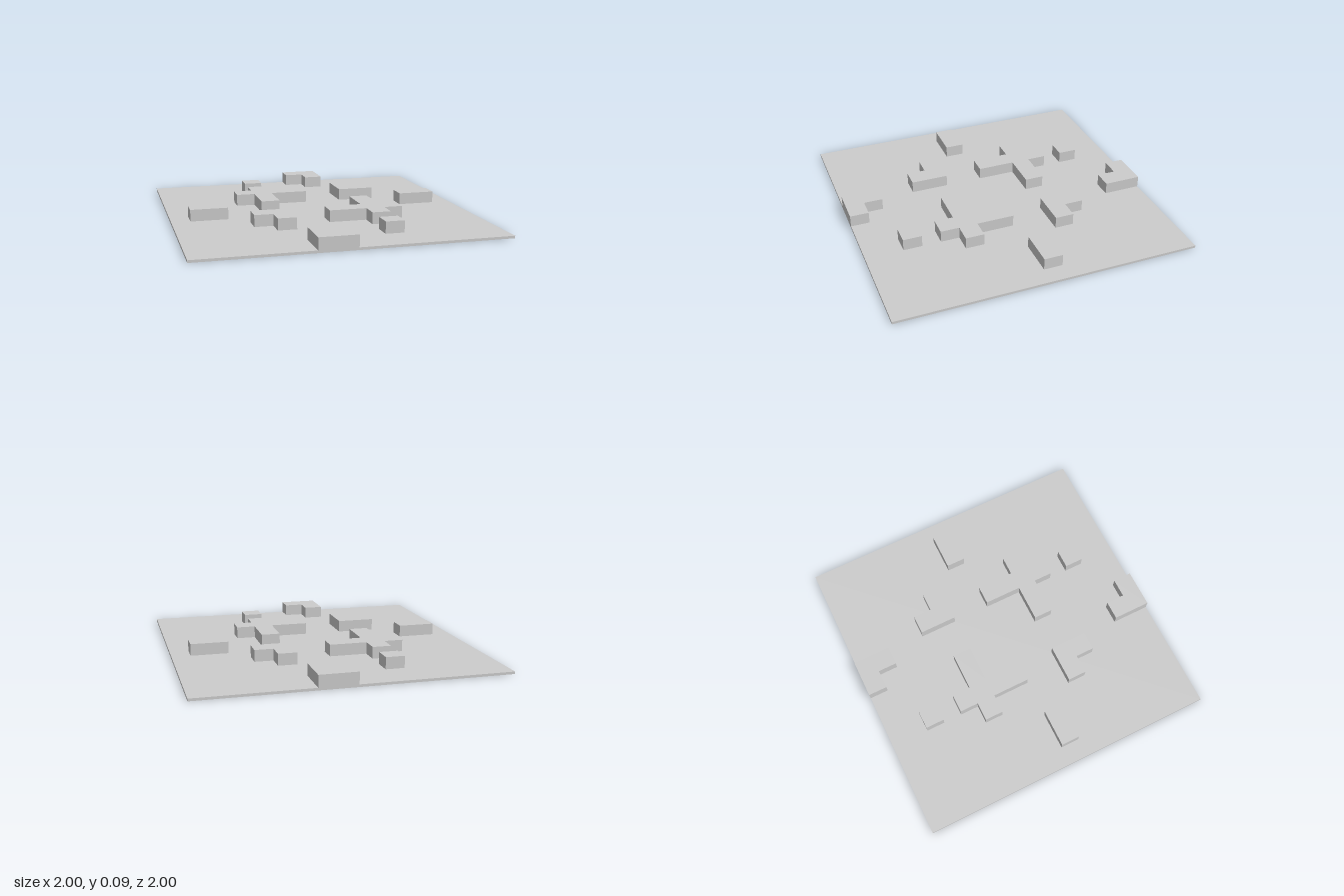
import * as THREE from 'three';

const CELL = 0.125;   // layout grid step
const BASE = 0.016;   // plate thickness
const TOP = 0.094;    // height of block tops

// Footprints of one half of the layout, as [x, z] corners in grid cells
const FOOTPRINTS = {
  edgeStepBlock: [[0, -8], [0, -7], [1, -7], [1, -6], [2, -6], [2, -8]],
  smallCube: [[-3, -6], [-3, -5], [-2, -5], [-2, -6]],
  crossBlock: [[-4, -3], [-4, -2], [-3, -2], [-3, 0], [-2, 0], [-2, -2],
    [0, -2], [0, -3], [-2, -3], [-2, -4], [-3, -4], [-3, -3]],
  cornerBlock: [[2, -4], [2, -2], [4, -2], [4, -3], [3, -3], [3, -4]],
  barBlock: [[5, -1], [5, 0], [7, 0], [7, -1]],
};

// Raise a footprint from the plate to the block height
function blockGeometry(corners) {
  const shape = new THREE.Shape(corners.map(([x, z]) => new THREE.Vector2(x * CELL, -z * CELL)));
  const geometry = new THREE.ExtrudeGeometry(shape, { depth: TOP - BASE, bevelEnabled: false });
  return geometry.rotateX(-Math.PI / 2).translate(0, BASE, 0);
}

export function createModel() {
  const model = new THREE.Group();
  model.name = 'blockBoard';
  const grey = new THREE.MeshStandardMaterial({ color: 0xcccccc });
  grey.name = 'light grey';

  // Thin square base
  const plate = new THREE.Mesh(new THREE.BoxGeometry(2, BASE, 2).translate(0, BASE / 2, 0), grey);
  plate.name = 'basePlate';
  model.add(plate);

  // Back half, then the same layout turned half a revolution for the front
  for (const [side, turn] of [['back', 0], ['front', Math.PI]]) {
    const half = new THREE.Group();
    half.name = `${side}Blocks`;
    half.rotation.y = turn;
    for (const [name, corners] of Object.entries(FOOTPRINTS)) {
      const block = new THREE.Mesh(blockGeometry(corners), grey);
      block.name = name;
      half.add(block);
    }
    model.add(half);
  }
  return model;
}
